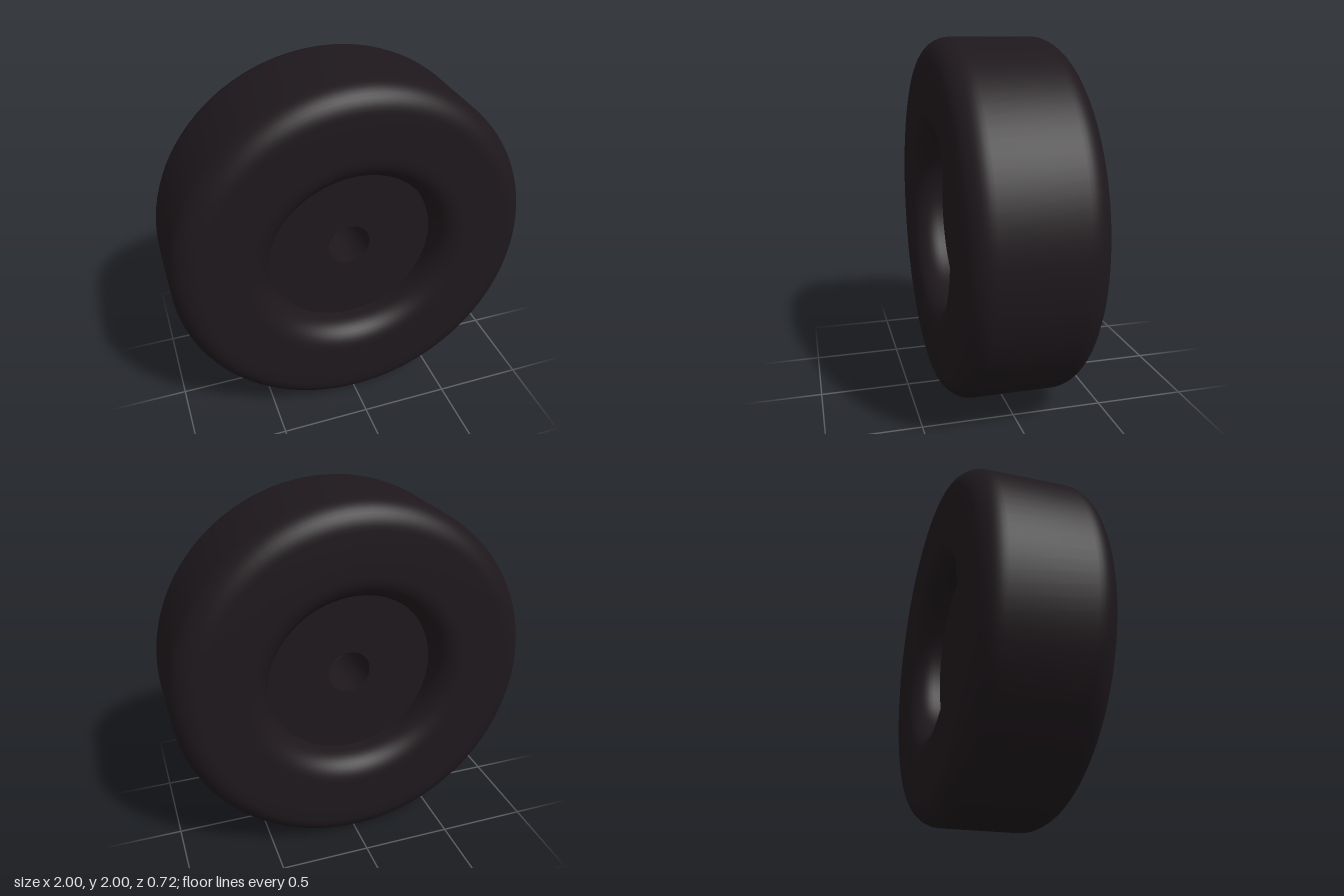
import * as THREE from 'three';
import { toCreasedNormals } from 'three/addons/utils/BufferGeometryUtils.js';

const SEGMENTS = 96;

// Revolves a closed [radius, z] profile about the z axis.
function ring(name, points, material) {
  let geometry = new THREE.LatheGeometry(points, SEGMENTS);
  geometry.rotateX(Math.PI / 2);
  geometry = toCreasedNormals(geometry, 0.6);
  const mesh = new THREE.Mesh(geometry, material);
  mesh.name = name;
  mesh.position.y = 1;
  return mesh;
}

// Rectangle profile with rounded corners, run counter-clockwise.
function roundedProfile(inner, outer, halfWidth, radius, steps = 10) {
  const points = [];
  const corners = [
    [outer - radius, -halfWidth + radius, -Math.PI / 2],
    [outer - radius, halfWidth - radius, 0],
    [inner + radius, halfWidth - radius, Math.PI / 2],
    [inner + radius, -halfWidth + radius, Math.PI],
  ];
  for (const [cx, cy, start] of corners) {
    for (let i = 0; i <= steps; i++) {
      const a = start + (i / steps) * Math.PI / 2;
      points.push(new THREE.Vector2(cx + radius * Math.cos(a), cy + radius * Math.sin(a)));
    }
  }
  points.push(points[0].clone());
  return points;
}

export function createModel() {
  const group = new THREE.Group();
  group.name = 'wheel';
  const rubber = new THREE.MeshStandardMaterial({ color: 0x1e181c });

  // Tyre with rounded shoulders and inner lips
  group.add(ring('tyre', roundedProfile(0.48, 1, 0.36, 0.14), rubber));

  // Recessed hub disc with a through axle hole
  const hub = [[0.12, -0.18], [0.482, -0.18], [0.482, 0.18], [0.12, 0.18], [0.12, -0.18]]
    .map(([r, z]) => new THREE.Vector2(r, z));
  group.add(ring('hub', hub, rubber));

  return group;
}
